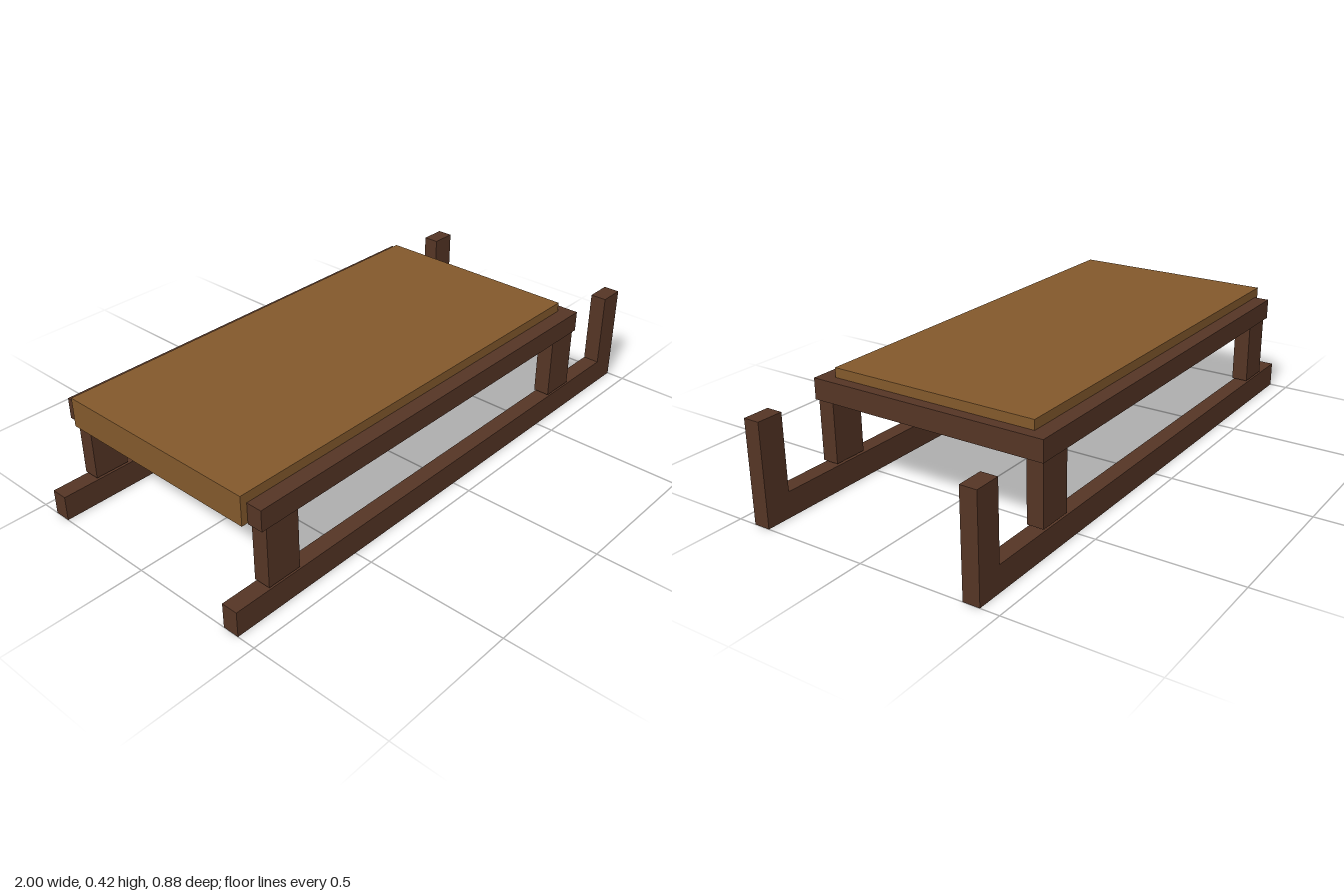
import * as THREE from 'three';

const darkWood = new THREE.MeshStandardMaterial({ color: 0x553525 });
darkWood.name = 'dark wood';
const lightWood = new THREE.MeshStandardMaterial({ color: 0x83592c });
lightWood.name = 'light wood';

// Box given by its lower and upper limits on each axis
function block(name, material, [x0, x1], [y0, y1], [z0, z1]) {
  const geometry = new THREE.BoxGeometry(x1 - x0, y1 - y0, z1 - z0);
  const mesh = new THREE.Mesh(geometry, material);
  mesh.position.set((x0 + x1) / 2, (y0 + y1) / 2, (z0 + z1) / 2);
  mesh.name = name;
  return mesh;
}

export function createModel() {
  const sled = new THREE.Group();
  sled.name = 'sled';

  // Deck, overhanging the open rear end of the frame
  sled.add(block('deck', lightWood, [-0.915, 0.655], [0.32, 0.424], [-0.384, 0.384]));
  // Cross rail closing the frame at the upturned end
  sled.add(block('crossRail', darkWood, [0.655, 0.695], [0.316, 0.39], [-0.384, 0.384]));

  for (const [side, s] of [['front', 1], ['back', -1]]) {
    const across = (inner, outer) => (s > 0 ? [inner, outer] : [-outer, -inner]);
    const half = new THREE.Group();
    half.name = `${side}Side`;
    // Runner with its upright end
    half.add(block('runner', darkWood, [-1, 1], [0, 0.09], across(0.375, 0.434)));
    half.add(block('runnerUpright', darkWood, [0.905, 1], [0.09, 0.36], across(0.375, 0.434)));
    // Frame rail beside the deck
    half.add(block('sideRail', darkWood, [-0.892, 0.695], [0.316, 0.39], across(0.384, 0.44)));
    // Posts between the runner and the frame
    for (const x of [-0.807, 0.622]) {
      half.add(block('post', darkWood, [x - 0.063, x + 0.063], [0.098, 0.318], across(0.375, 0.434)));
    }
    sled.add(half);
  }
  return sled;
}
